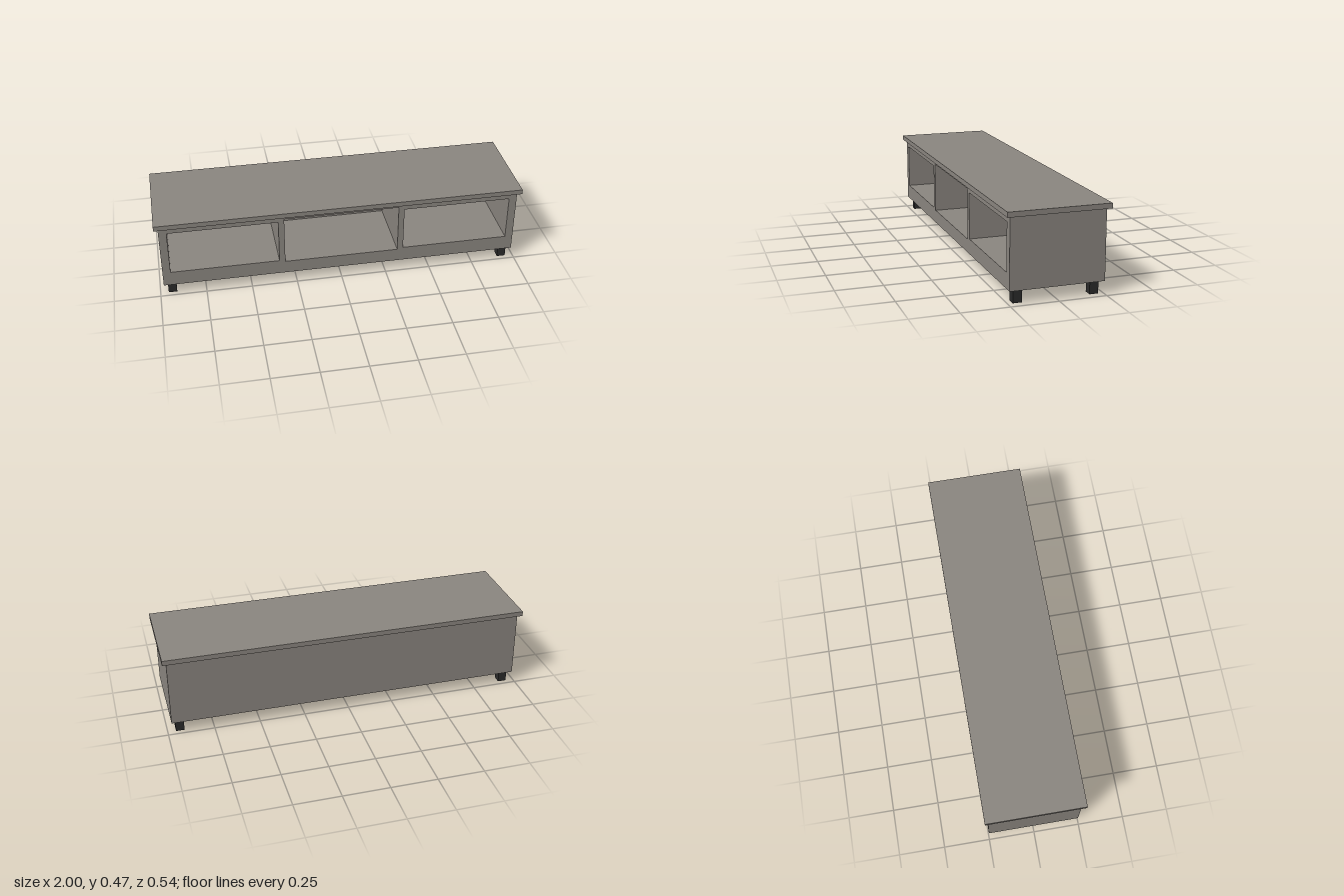
import * as THREE from 'three';

const wood = new THREE.MeshStandardMaterial({ color: 0x8b8680 });
wood.name = 'greyWood';
const dark = new THREE.MeshStandardMaterial({ color: 0x2b2b2b });
dark.name = 'darkLegs';

const BODY = { w: 1.956, bottom: 0.069, top: 0.44, front: 0.248 };

// Box without its front (+z) face; inward turns it inside out for a recess
function openBox(w, h, d, inward) {
  const geo = new THREE.BoxGeometry(w, h, d);
  const index = Array.from(geo.index.array);
  index.splice(24, 6);
  if (inward) {
    index.reverse();
    const n = geo.attributes.normal;
    for (let i = 0; i < n.count; i++) n.setXYZ(i, -n.getX(i), -n.getY(i), -n.getZ(i));
  }
  geo.setIndex(index);
  geo.clearGroups();
  return geo;
}

function rectangle(path, x0, x1, y0, y1) {
  path.moveTo(x0, y0);
  path.lineTo(x1, y0);
  path.lineTo(x1, y1);
  path.lineTo(x0, y1);
  path.closePath();
  return path;
}

export function createModel() {
  const model = new THREE.Group();
  model.name = 'mediaConsole';

  const add = (name, geo, material, x, y, z) => {
    const mesh = new THREE.Mesh(geo, material);
    mesh.name = name;
    mesh.position.set(x, y, z);
    model.add(mesh);
  };

  // Overhanging top board
  add('topBoard', new THREE.BoxGeometry(2, 0.027, 0.535), wood, 0, 0.4535, 0);

  // Cabinet body, open at the front
  const height = BODY.top - BODY.bottom;
  add('cabinetBody', openBox(BODY.w, height, BODY.front * 2, false), wood,
    0, (BODY.bottom + BODY.top) / 2, 0);

  // Three compartments: the centre one is taller and shallower
  const niches = [
    { name: 'rightCompartment', x0: -0.935, x1: -0.345, y0: 0.152, y1: 0.404, depth: 0.417 },
    { name: 'centreCompartment', x0: -0.313, x1: 0.313, y0: 0.143, y1: 0.42, depth: 0.392 },
    { name: 'leftCompartment', x0: 0.345, x1: 0.935, y0: 0.152, y1: 0.404, depth: 0.417 },
  ];
  const frame = rectangle(new THREE.Shape(), -BODY.w / 2, BODY.w / 2, BODY.bottom, BODY.top);
  for (const { name, x0, x1, y0, y1, depth } of niches) {
    frame.holes.push(rectangle(new THREE.Path(), x0, x1, y0, y1));
    add(name, openBox(x1 - x0, y1 - y0, depth, true), wood,
      (x0 + x1) / 2, (y0 + y1) / 2, BODY.front - depth / 2);
  }
  add('frontFrame', new THREE.ShapeGeometry(frame), wood, 0, 0, BODY.front);

  // Four short square legs
  for (const sx of [-1, 1]) {
    for (const sz of [-1, 1]) {
      const name = (sz > 0 ? 'front' : 'back') + (sx > 0 ? 'Left' : 'Right') + 'Leg';
      add(name, new THREE.BoxGeometry(0.046, BODY.bottom, 0.046), dark,
        sx * 0.933, BODY.bottom / 2, sz * 0.2);
    }
  }
  return model;
}
